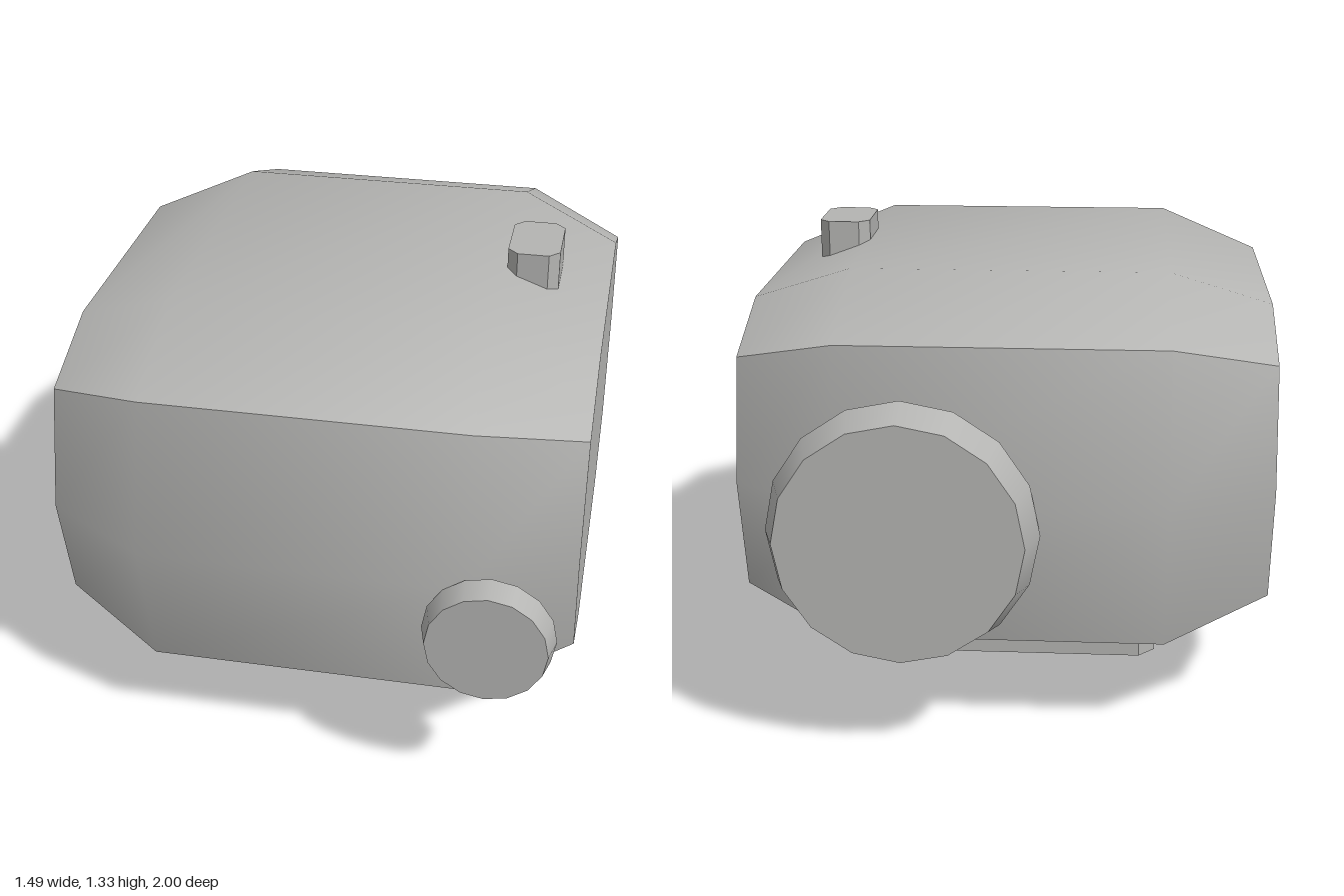
import * as THREE from 'three';
import { toCreasedNormals } from 'three/addons/utils/BufferGeometryUtils.js';

const grey = new THREE.MeshStandardMaterial({ color: 0xb4b4b2 });
grey.name = 'grey';

// Barrel body: one ten-sided section lofted along x, shrunk at both ends
function bodyGeometry() {
  const section = [
    [0.915, 0], [0.815, 0.4225], [0.475, 0.5525], [-0.475, 0.5525], [-0.815, 0.4225],
    [-0.915, 0], [-0.815, -0.4225], [-0.475, -0.5525], [0.475, -0.5525], [0.815, -0.4225],
  ];
  const rings = [[-0.745, 0.802], [-0.45, 1], [0.45, 1], [0.745, 0.802]];
  const n = section.length;
  const pos = [];
  const index = [];
  for (const [x, s] of rings) for (const [z, y] of section) pos.push(x, y * s, z * s);
  for (let i = 0; i < rings.length - 1; i++) {
    for (let j = 0; j < n; j++) {
      const a = i * n + j, b = i * n + (j + 1) % n;
      index.push(a, a + n, b + n, a, b + n, b);
    }
  }
  const last = (rings.length - 1) * n;
  for (let j = 1; j < n - 1; j++) {
    index.push(0, j, j + 1); // -x end
    index.push(last, last + j + 1, last + j); // +x end
  }
  const geo = new THREE.BufferGeometry();
  geo.setAttribute('position', new THREE.Float32BufferAttribute(pos, 3));
  geo.setIndex(index);
  return toCreasedNormals(geo, THREE.MathUtils.degToRad(40));
}

// Upright block with chamfered vertical corners, standing on y = 0
function chamferedBlock(w, d, h, c) {
  const x = w / 2, y = d / 2;
  const corners = [
    [x, c - y], [x, y - c], [x - c, y], [c - x, y],
    [-x, y - c], [-x, c - y], [c - x, -y], [x - c, -y],
  ];
  const shape = new THREE.Shape(corners.map(([u, v]) => new THREE.Vector2(u, v)));
  return new THREE.ExtrudeGeometry(shape, { depth: h, bevelEnabled: false }).rotateX(-Math.PI / 2);
}

// Tapered disc, narrow face towards +z or -z
function taperedDisc(rOuter, rBase, depth, dir) {
  return new THREE.CylinderGeometry(rOuter, rBase, depth, 16).rotateX(dir * Math.PI / 2);
}

export function createModel() {
  const model = new THREE.Group();
  model.name = 'housing';
  const add = (name, geo, x, y, z) => {
    const mesh = new THREE.Mesh(geo, grey);
    mesh.name = name;
    mesh.position.set(x, y, z);
    model.add(mesh);
  };

  add('body', bodyGeometry(), 0, 0.7125, 0.015);
  add('base', chamferedBlock(0.96, 0.61, 0.165, 0.05), 0.04, 0, 0.015);
  add('topButton', chamferedBlock(0.15, 0.23, 0.12, 0.03), 0.525, 1.205, 0.015);
  add('frontDisc', taperedDisc(0.166, 0.183, 0.07, 1), 0.525, 0.58, 0.965);
  add('backDisc', taperedDisc(0.335, 0.37, 0.1, -1), 0.26, 0.647, -0.95);
  return model;
}
